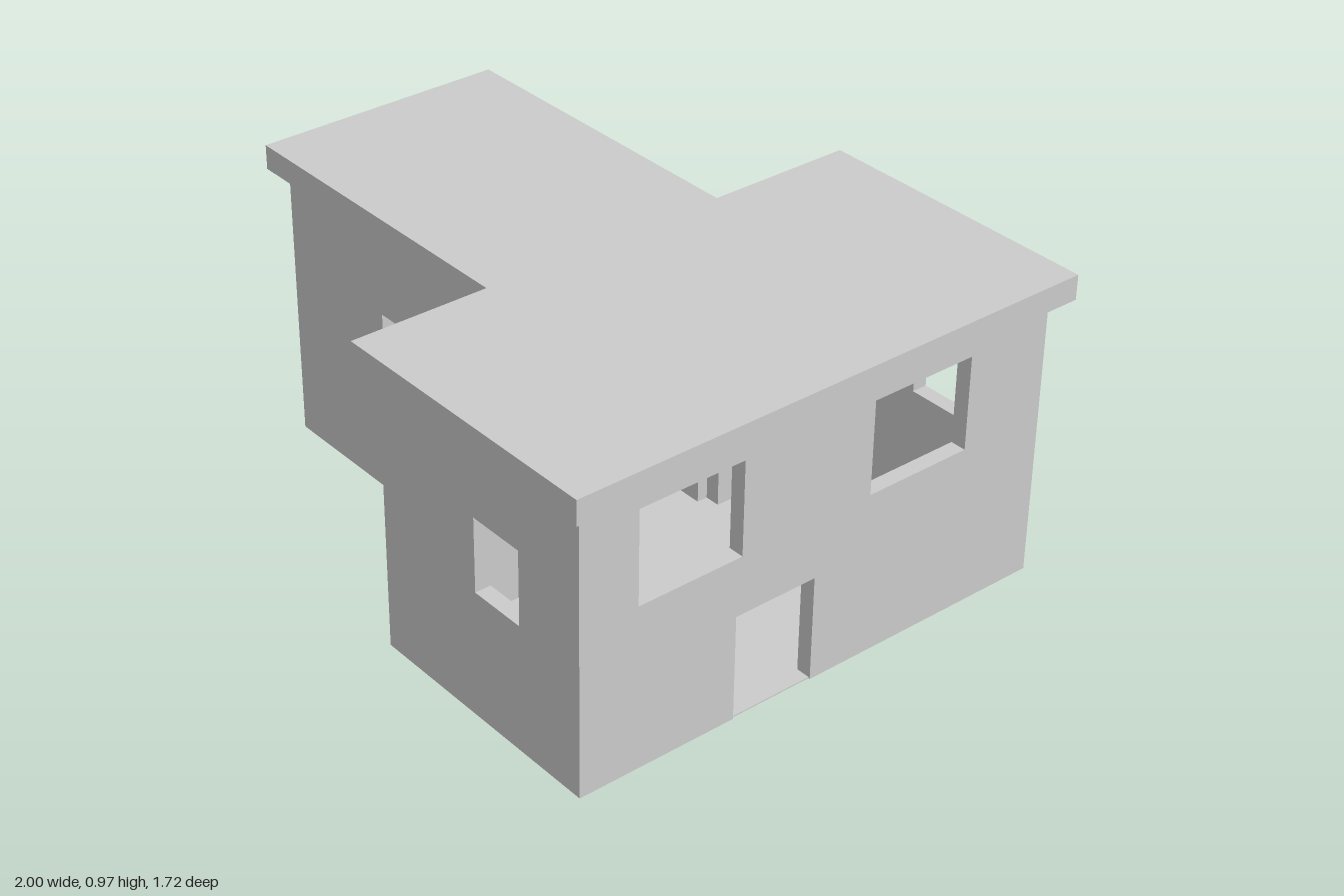
import * as THREE from 'three';

const T = 0.05;           // wall thickness
const H = 0.895;          // wall height
const X0 = -0.965, XM = 0.11, X1 = 0.945;                 // wing end, junction, main end
const ZB = -0.815, ZF = 0.805, WB = -0.355, WF = 0.365;   // main and wing, back and front

const material = new THREE.MeshStandardMaterial({ color: 0xcccccc, flatShading: true });

const outline = (points) => new THREE.Shape(points.map(([x, y]) => new THREE.Vector2(x, y)));

// Wall panel from a to b: doors are [from, to, top], windows [from, to, bottom, top]
function panel(a, b, windows = [], doors = []) {
  const points = [[a, 0]];
  for (const [from, to, top] of doors) points.push([from, 0], [from, top], [to, top], [to, 0]);
  points.push([b, 0], [b, H], [a, H]);
  const shape = outline(points);
  for (const [from, to, y0, y1] of windows) {
    shape.holes.push(outline([[from, y0], [from, y1], [to, y1], [to, y0]]));
  }
  return new THREE.ExtrudeGeometry(shape, { depth: T, bevelEnabled: false });
}

// T-shaped slab lying flat, from height y upwards
function slab(name, y, thickness, [x0, xm, x1], [zb, zf, wb, wf]) {
  const shape = outline([
    [x0, -wf], [xm, -wf], [xm, -zf], [x1, -zf], [x1, -zb], [xm, -zb], [xm, -wb], [x0, -wb],
  ]);
  const geometry = new THREE.ExtrudeGeometry(shape, { depth: thickness, bevelEnabled: false });
  geometry.rotateX(-Math.PI / 2).translate(0, y, 0);
  const mesh = new THREE.Mesh(geometry, material);
  mesh.name = name;
  return mesh;
}

export function createModel() {
  const house = new THREE.Group();
  house.name = 'house';

  const add = (name, geometry) => {
    const mesh = new THREE.Mesh(geometry, material);
    mesh.name = name;
    house.add(mesh);
  };
  // Wall running along x, with its back face at z
  const wallX = (name, z, geometry) => add(name, geometry.translate(0, 0, z));
  // Wall running along z, with its right-hand (+x) face at x
  const wallZ = (name, x, geometry) => add(name, geometry.rotateY(-Math.PI / 2).translate(x, 0, 0));

  // Front and back walls, with matching windows
  const mainWindow = [0.513, 0.70, 0.405, 0.64];
  const wingWindow = [-0.515, -0.255, 0.255, 0.605];
  wallX('mainFrontWall', ZF - T, panel(XM, X1, [mainWindow]));
  wallX('mainBackWall', ZB, panel(XM, X1, [mainWindow]));
  wallX('wingFrontWall', WF - T, panel(X0, XM, [wingWindow]));
  wallX('wingBackWall', WB, panel(X0, XM, [wingWindow]));

  // Outer side wall of the main block: two wide windows and a door
  wallZ('mainSideWall', X1, panel(ZB + T, ZF - T,
    [[-0.53, -0.18, 0.52, 0.815], [0.27, 0.615, 0.52, 0.815]],
    [[0.01, 0.285, 0.335]]));

  // Wall between main block and wing: a window each side, open passage between
  wallZ('junctionWall', XM + T, panel(ZB + T, ZF - T,
    [[-0.69, -0.485, 0.295, 0.64], [0.515, 0.715, 0.325, 0.67]],
    [[-0.34, 0.30, 0.60]]));

  // End wall of the wing: two narrow windows above a door
  wallZ('wingEndWall', X0 + T, panel(WB + T, WF - T,
    [[-0.21, -0.085, 0.54, 0.80], [0.06, 0.185, 0.54, 0.80]],
    [[-0.17, 0.10, 0.41]]));

  // Floor sits just inside the outer faces, roof overhangs them
  const inset = 0.005;
  house.add(slab('floor', 0, 0.004,
    [X0 + inset, XM + inset, X1 - inset],
    [ZB + inset, ZF - inset, WB + inset, WF - inset]));
  house.add(slab('roof', H, 0.077, [-1, 0.065, 1], [-0.86, 0.855, -0.39, 0.418]));

  return house;
}
